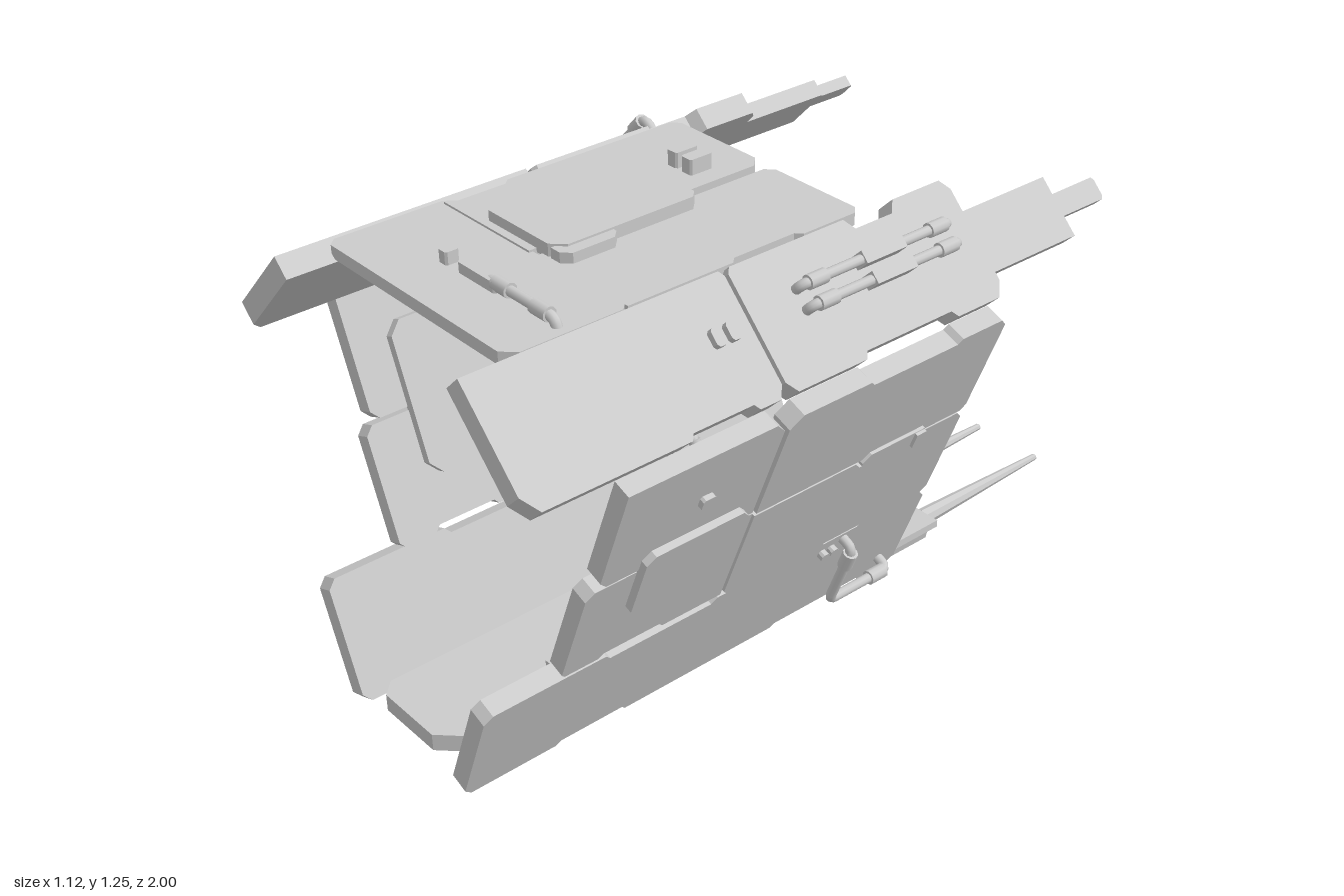
import * as THREE from 'three';

const mat = new THREE.MeshStandardMaterial({ color: 0xcccccc });

// A face is a flat wall running along z. Its second coordinate is world y
// (sloped walls) or world x (roof and floor); n is the outward offset.
function makeFace(root, name, ox, oy, vx, vy, k, ref) {
  const group = new THREE.Group();
  group.name = name;
  const v = new THREE.Vector3(vx, vy, 0).normalize();
  const w = new THREE.Vector3(v.y, -v.x, 0);
  const m = new THREE.Matrix4().makeBasis(new THREE.Vector3(0, 0, -1), v, w).setPosition(ox, oy, 0);
  group.applyMatrix4(m);
  root.add(group);
  return { group, at: (z, a) => new THREE.Vector2(-z, (a - ref) * k) };
}

function addMesh(parent, name, geometry) {
  const mesh = new THREE.Mesh(geometry, mat);
  mesh.name = name;
  parent.add(mesh);
  return mesh;
}

// Armour plate: z0 < z1, a0 < a1, layer from n0 to n1.
// cut = corner chamfers [back low, front low, front high, back high];
// lo / hi = notches [from z, to z, depth] in ascending z on the two long edges.
function plate(face, name, z0, z1, a0, a1, n0, n1, cut = [0, 0, 0, 0], lo = [], hi = []) {
  const pts = [];
  const corner = (z, a, sz, sa, c, first) => {
    if (!c) return pts.push([z, a]);
    const p = [[z + sz * c, a], [z, a + sa * c]];
    pts.push(...(first === 'z' ? p : p.reverse()));
  };
  corner(z0, a0, 1, 1, cut[0], 'a');
  for (const [s, e, d] of lo) pts.push([s, a0], [s + d, a0 + d], [e - d, a0 + d], [e, a0]);
  corner(z1, a0, -1, 1, cut[1], 'z');
  corner(z1, a1, -1, -1, cut[2], 'a');
  for (const [s, e, d] of [...hi].reverse()) pts.push([e, a1], [e - d, a1 - d], [s + d, a1 - d], [s, a1]);
  corner(z0, a1, 1, -1, cut[3], 'z');
  const geo = new THREE.ExtrudeGeometry(new THREE.Shape(pts.map(([z, a]) => face.at(z, a))),
    { depth: n1 - n0, bevelEnabled: false });
  geo.translate(0, 0, n0);
  return addMesh(face.group, name, geo);
}

// Tube through [z, a, n] points with rounded bends and thicker end collars
function pipe(face, name, points, r = 0.011, bend = 0.025) {
  const p = points.map(([z, a, n]) => { const q = face.at(z, a); return new THREE.Vector3(q.x, q.y, n); });
  const path = new THREE.CurvePath();
  let prev = p[0];
  for (let i = 1; i < p.length - 1; i++) {
    const near = (q) => p[i].clone().add(q.clone().sub(p[i]).setLength(Math.min(bend, q.distanceTo(p[i]) * 0.5)));
    const a = near(p[i - 1]), b = near(p[i + 1]);
    path.add(new THREE.LineCurve3(prev, a));
    path.add(new THREE.QuadraticBezierCurve3(a, p[i], b));
    prev = b;
  }
  path.add(new THREE.LineCurve3(prev, p[p.length - 1]));
  addMesh(face.group, name, new THREE.TubeGeometry(path, 48, r, 10));
  for (const i of [1, p.length - 2]) {
    const dir = p[i === 1 ? 2 : i - 1].clone().sub(p[i]).normalize();
    const collar = addMesh(face.group, name + 'Collar', new THREE.CylinderGeometry(r * 1.45, r * 1.45, 0.05, 10));
    collar.position.copy(p[i]).addScaledVector(dir, 0.04);
    collar.quaternion.setFromUnitVectors(new THREE.Vector3(0, 1, 0), dir);
  }
}

// Small raised latch blocks
function latch(face, z, a, n0, n1, wz = 0.035, wa = 0.03) {
  plate(face, 'latch', z - wz / 2, z + wz / 2, a - wa / 2, a + wa / 2, n0, n1, [0.005, 0.005, 0.005, 0.005]);
}

export function createModel() {
  const root = new THREE.Group();
  root.name = 'armouredShell';

  const roof = makeFace(root, 'roof', 0, 1.195, -1, 0, -1, 0);
  const floor = makeFace(root, 'floor', 0, 0.115, 1, 0, 1, 0);
  const upperL = makeFace(root, 'leftShoulder', 0.515, 0.985, -0.7, 0.715, 1.4, 0.985);
  const upperR = makeFace(root, 'rightShoulder', -0.515, 0.985, -0.7, -0.715, -1.4, 0.985);
  const sideL = makeFace(root, 'leftWall', 0.195, 0.11, 0.39, 1, 1.073, 0.11);
  const sideR = makeFace(root, 'rightWall', -0.195, 0.11, 0.39, -1, -1.073, 0.11);

  // Roof plates, raised pad, rail and latches
  plate(roof, 'roofPlate', -0.07, 0.59, -0.31, 0, -0.015, 0.02, [0.02, 0, 0, 0.03], [[0.42, 0.6 - 0.02, 0.015]]);
  plate(roof, 'roofPlate', -0.07, 0.58, 0.02, 0.315, -0.015, 0.015, [0.02, 0, 0, 0.02], [], [[0.1, 0.3, 0.015]]);
  plate(roof, 'roofFrontPlate', 0.58, 0.88, -0.335, 0.32, -0.015, 0.015, [0.015, 0.03, 0.03, 0.015]);
  plate(roof, 'roofUnderPlate', -0.05, 0.6, -0.06, 0.25, -0.02, -0.01);
  plate(roof, 'roofPad', 0.18, 0.57, -0.2, 0.07, 0.01, 0.045, [0.02, 0.03, 0.03, 0.02]);
  plate(roof, 'roofPadWing', 0.42, 0.57, 0.05, 0.1, 0.01, 0.04, [0, 0, 0.02, 0.02]);
  for (const x of [-0.12, -0.07]) latch(roof, 0.07, x, 0.015, 0.058, 0.065, 0.035);
  latch(roof, 0.735, -0.08, 0.01, 0.045);
  plate(roof, 'railBlock', 0.72, 0.75, -0.03, 0.1, 0.01, 0.04, [0.006, 0.006, 0.006, 0.006]);
  pipe(roof, 'roofRail', [[0.735, 0.05, 0.02], [0.735, 0.07, 0.032], [0.735, 0.28, 0.032], [0.735, 0.29, 0.005]], 0.012);

  // Shoulders: two plates and a stepped prong each
  for (const f of [upperL, upperR]) {
    plate(f, 'shoulderFrontPlate', 0.345, 1, 0.985, 1.195, -0.028, 0.028, [0.02, 0.03, 0, 0.01], [[0.42, 0.6, 0.01]]);
    plate(f, 'shoulderRearPlate', -0.315, 0.335, 0.985, 1.195, -0.028, 0.028, [0.025, 0.02, 0.01, 0.02], [[-0.16, 0.12, 0.012]], [[-0.15, 0, 0.02]]);
    plate(f, 'prongBase', -0.59, -0.3, 1.025, 1.135, -0.022, 0.022);
    plate(f, 'prongTip', -0.735, -0.58, 1.062, 1.103, -0.012, 0.018, [0.006, 0, 0, 0.006]);
  }
  for (const y of [1.09, 1.125]) {
    pipe(upperL, 'twinRail', [[-0.24, y, 0.02], [-0.24, y, 0.055], [0.2, y, 0.055], [0.2, y, 0.02]], 0.012, 0.02);
    plate(upperL, 'railClamp', -0.09, 0.03, y - 0.011, y + 0.011, 0.025, 0.07);
  }
  for (const z of [0.4, 0.44]) latch(upperL, z, 1.105, 0.02, 0.045, 0.025, 0.03);
  for (const z of [-0.015, 0.015]) latch(upperR, z, 1.12, 0.02, 0.045, 0.022, 0.025);
  pipe(upperR, 'shoulderHandle', [[-0.24, 1.0, 0.02], [-0.24, 1.0, 0.068], [-0.06, 1.0, 0.068], [-0.055, 1.145, 0.068], [-0.055, 1.145, 0.02]], 0.013);

  // Side walls: upper, middle and lower rows
  for (const f of [sideL, sideR]) {
    plate(f, 'upperFrontPlate', 0.355, 0.775, 0.68, 0.965, -0.024, 0.022, [0, 0.02, 0, 0.03]);
    plate(f, 'upperRearPlate', -0.305, 0.345, 0.675, 0.965, -0.024, 0.026, [0.015, 0, 0.03, 0.02], [], [[-0.16, 0.12, 0.012]]);
    plate(f, 'middleFrontPlate', 0.35, 0.8, 0.395, 0.672, -0.024, 0.02, [0, 0.01, 0.02, 0], [[0.52, 0.7, 0.012]]);
    plate(f, 'middleRearPlate', -0.31, 0.345, 0.385, 0.665, -0.024, 0.024, [0.02, 0.02, 0, 0.02], [], [[-0.18, 0.04, 0.02]]);
    plate(f, 'lowerPlate', -0.315, 1, 0.11, 0.395, -0.024, 0.024, [0.03, 0.02, 0.02, 0.03],
      [[-0.2, 0.1, 0.012], [0.55, 0.75, 0.012]], [[-0.1, 0.04, 0.015], [0.36, 0.68, 0.015]]);
    // Inside grab handle
    pipe(f, 'innerHandle', [[-0.05, 0.36, -0.02], [-0.05, 0.36, -0.055], [-0.05, 0.17, -0.055], [-0.25, 0.17, -0.055], [-0.25, 0.17, -0.02]], 0.012);
    latch(f, 0.02, 0.345, -0.045, -0.02);
  }

  // Left wall details
  plate(sideL, 'accessPad', 0.39, 0.67, 0.53, 0.73, 0.01, 0.04, [0.02, 0.03, 0.02, 0.02]);
  plate(sideL, 'clasp', -0.16, 0.03, 0.645, 0.692, 0.01, 0.034, [0, 0.02, 0.02, 0]);
  plate(sideL, 'claspTip', -0.16, -0.13, 0.648, 0.689, 0.03, 0.042);
  plate(sideL, 'innerPad', 0.05, 0.4, 0.68, 0.88, -0.048, -0.02, [0.03, 0.03, 0.03, 0.03]);
  latch(sideL, 0.535, 0.825, 0.015, 0.035);
  for (const z of [-0.01, 0.02]) latch(sideL, z, 0.345, 0.02, 0.04, 0.022, 0.022);
  pipe(sideL, 'outerHandle', [[-0.045, 0.36, 0.02], [-0.045, 0.36, 0.06], [-0.045, 0.168, 0.06], [-0.245, 0.168, 0.06], [-0.245, 0.168, 0.02]], 0.013);

  // Right wall details
  plate(sideR, 'outerPad', -0.26, 0.17, 0.43, 0.72, 0.01, 0.036, [0.03, 0.03, 0.03, 0.03]);
  plate(sideR, 'innerPad', 0.3, 0.68, 0.52, 0.87, -0.048, -0.02, [0.03, 0.03, 0.03, 0.03]);
  plate(sideR, 'innerRearPad', -0.355, 0.02, 0.21, 0.5, -0.052, -0.022, [0.015, 0.015, 0.015, 0.015]);
  pipe(sideR, 'longHandle', [[0.2, 0.86, 0.02], [0.2, 0.845, 0.06], [0.2, 0.455, 0.06], [0.2, 0.46, 0.02]], 0.016);
  plate(sideR, 'handleClamp', 0.18, 0.22, 0.65, 0.71, 0.04, 0.08);
  latch(sideR, 0.54, 0.78, 0.015, 0.04, 0.04, 0.04);
  latch(sideR, 0, 0.235, 0.02, 0.065, 0.04, 0.025);

  // Floor plates
  plate(floor, 'floorPlate', -0.12, 0.96, -0.205, 0.1, -0.025, 0.02, [0.02, 0.06, 0.06, 0], [[0.2, 0.5, 0.015]]);
  plate(floor, 'floorSidePlate', -0.12, 0.88, 0.09, 0.195, -0.02, 0.02, [0, 0, 0.04, 0.03]);
  latch(floor, 0.6, 0.036, -0.053, -0.02, 0.06, 0.03);

  // Twin lances under the floor
  for (const x of [-0.108, 0.102]) {
    const lance = new THREE.Group();
    lance.name = 'lance';
    lance.position.x = x;
    root.add(lance);
    const section = (name, half, z0, z1) => {
      const pts = [...half, ...[...half].reverse().map(([px, py]) => [-px, py])];
      const geo = new THREE.ExtrudeGeometry(new THREE.Shape(pts.map((q) => new THREE.Vector2(...q))), { depth: z1 - z0, bevelEnabled: false });
      geo.translate(0, 0, z0);
      addMesh(lance, name, geo);
    };
    section('lanceMount', [[0.077, 0.096], [0.077, 0.07], [0.03, 0.053], [0.03, 0.035], [0.013, 0]].reverse(), -0.22, 0.25);
    section('lanceBody', [[0.058, 0.09], [0.058, 0.07], [0.028, 0.052], [0.02, 0.015]].reverse(), -0.55, -0.21);
    // Long spike narrowing to the tip
    const spike = new THREE.CylinderGeometry(0.009, 0.024, 0.45, 8);
    spike.rotateX(-Math.PI / 2);
    const flat = addMesh(lance, 'lanceSpike', spike.toNonIndexed());
    flat.geometry.computeVertexNormals();
    flat.position.set(0, 0.067, -0.775);
  }
  return root;
}
